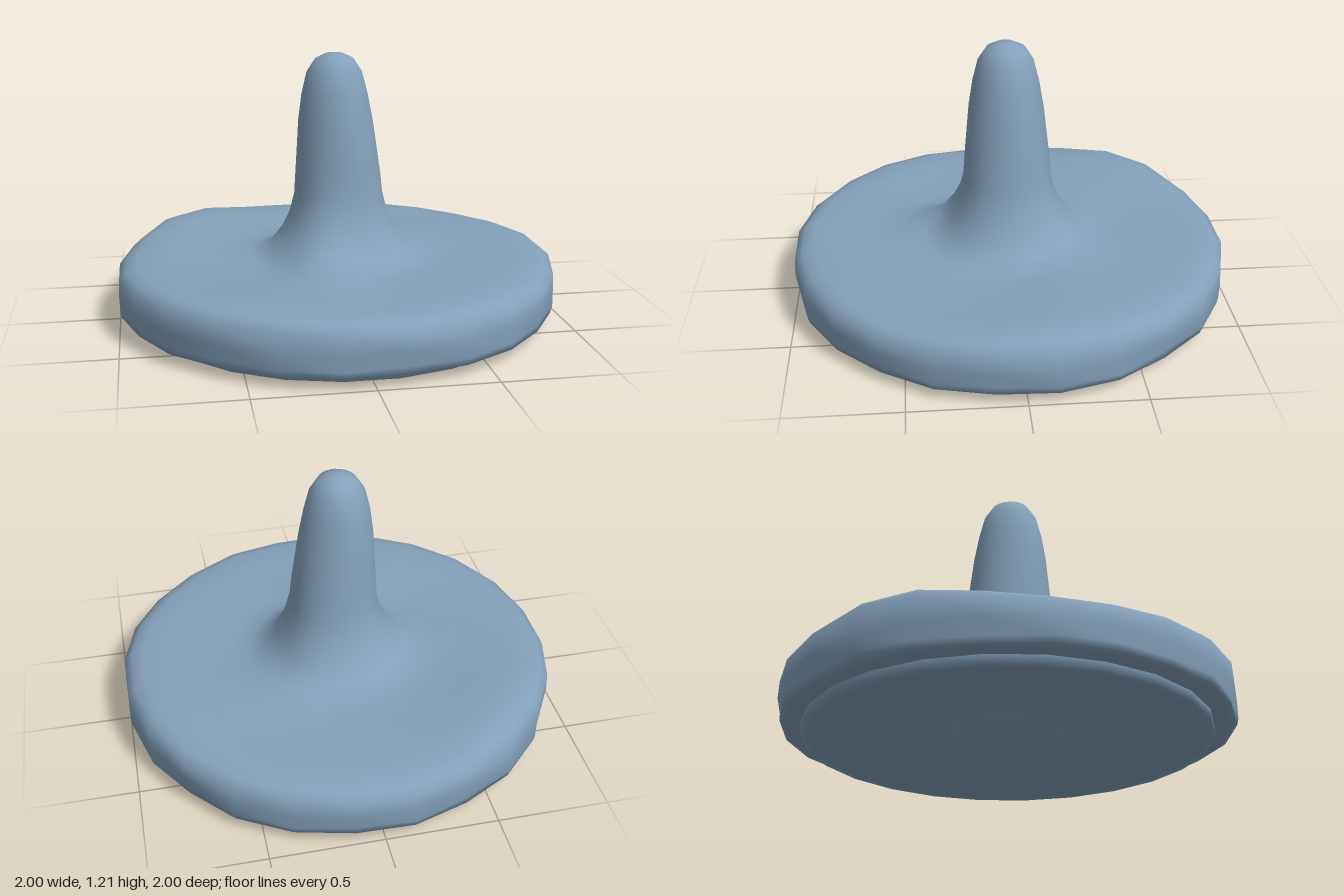
import * as THREE from 'three';
import { toCreasedNormals } from 'three/addons/utils/BufferGeometryUtils.js';

const SIDES = 24;

// Revolve [radius, height] pairs, then move every vertex by a rule
function turned(name, profile, material, rule) {
  const points = profile.map(([r, y]) => new THREE.Vector2(r, y));
  const geo = new THREE.LatheGeometry(points, SIDES, Math.PI / SIDES, Math.PI * 2);
  const pos = geo.attributes.position;
  const v = new THREE.Vector3();
  for (let i = 0; i < pos.count; i++) {
    v.fromBufferAttribute(pos, i);
    rule(v, Math.hypot(v.x, v.z), Math.atan2(v.x, v.z));
    pos.setXYZ(i, v.x, v.y, v.z);
  }
  const mesh = new THREE.Mesh(toCreasedNormals(geo, 1.8), material);
  mesh.name = name;
  return mesh;
}

// Soft round bump centred on (cx, cz)
const bump = (v, cx, cz, size) =>
  Math.exp(-((v.x - cx) ** 2 + (v.z - cz) ** 2) / (size * size));

export function createModel() {
  const model = new THREE.Group();
  model.name = 'spikedDisc';
  const blue = new THREE.MeshStandardMaterial({ color: 0x84a0b9 });
  blue.name = 'dusty blue';

  // Uneven disc flowing up into a tapering stalk
  const body = [
    [0.88, 0.043], [0.97, 0.045], [1.0, 0.05], [1.008, 0.08], [1.008, 0.15], [1.005, 0.235],
    [0.97, 0.265], [0.92, 0.282], [0.8, 0.278], [0.65, 0.278], [0.5, 0.273], [0.4, 0.28],
    [0.33, 0.305], [0.27, 0.385], [0.232, 0.47], [0.209, 0.56], [0.2, 0.65], [0.18, 0.8],
    [0.167, 0.9], [0.146, 1.02], [0.122, 1.12], [0.085, 1.18], [0.04, 1.203], [0, 1.207],
  ];
  model.add(turned('discAndStalk', body, blue, (v, r, a) => {
    if (v.y > 0.2 && r > 0.34) {
      // wavy upper face, raised at the back left and dipping at the front
      const wave = 0.01 * Math.sin(3 * a + 0.6 + r * 2) + 0.007 * Math.sin(5 * a + r * 7);
      v.y += wave + 0.035 * bump(v, -0.6, -0.6, 0.27) - 0.025 * bump(v, 0.1, 0.9, 0.25);
    } else if (v.y < 0.12 && r > 0.99) {
      // small dents along the lower rim
      const dent = 1 - 0.025 * Math.max(0, Math.sin(9 * a + 0.5)) * (v.y > 0.06 ? 1 : 0.5);
      v.x *= dent;
      v.z *= dent;
    }
    if (r < 0.45 && v.y > 0.2) {
      // root spreading towards the front left, small ridge at the back right
      v.y += 0.05 * bump(v, -0.12, 0.3, 0.13) + 0.02 * bump(v, 0.2, -0.3, 0.1);
      // stalk turns from wide to deep on the way up, with a slight lean
      const oval = 0.03 * Math.sin((v.y - 0.8) * 6) * Math.cos(2 * a);
      v.x = v.x * (1 - oval) + 0.003 + 0.01 * Math.cos((v.y - 0.5) * 5);
      v.z = v.z * (1 + oval) + 0.012 * Math.min(1, v.y);
    }
  }));

  // Low foot whose underside carries concentric ridges and grooves
  const underside = [
    [0, 0.035], [0.13, 0.025], [0.215, 0.012], [0.24, 0.05], [0.33, 0.06], [0.43, 0.055],
    [0.5, 0.015], [0.54, 0], [0.58, 0.035], [0.68, 0.04], [0.79, 0.02], [0.87, 0.002],
    [0.902, 0], [0.902, 0.05],
  ];
  model.add(turned('footAndUnderside', underside, blue, (v, r, a) => {
    if (r > 0.1 && r < 0.82) v.y += 0.005 * (1 + Math.sin(4 * a + r * 6));
  }));

  return model;
}
